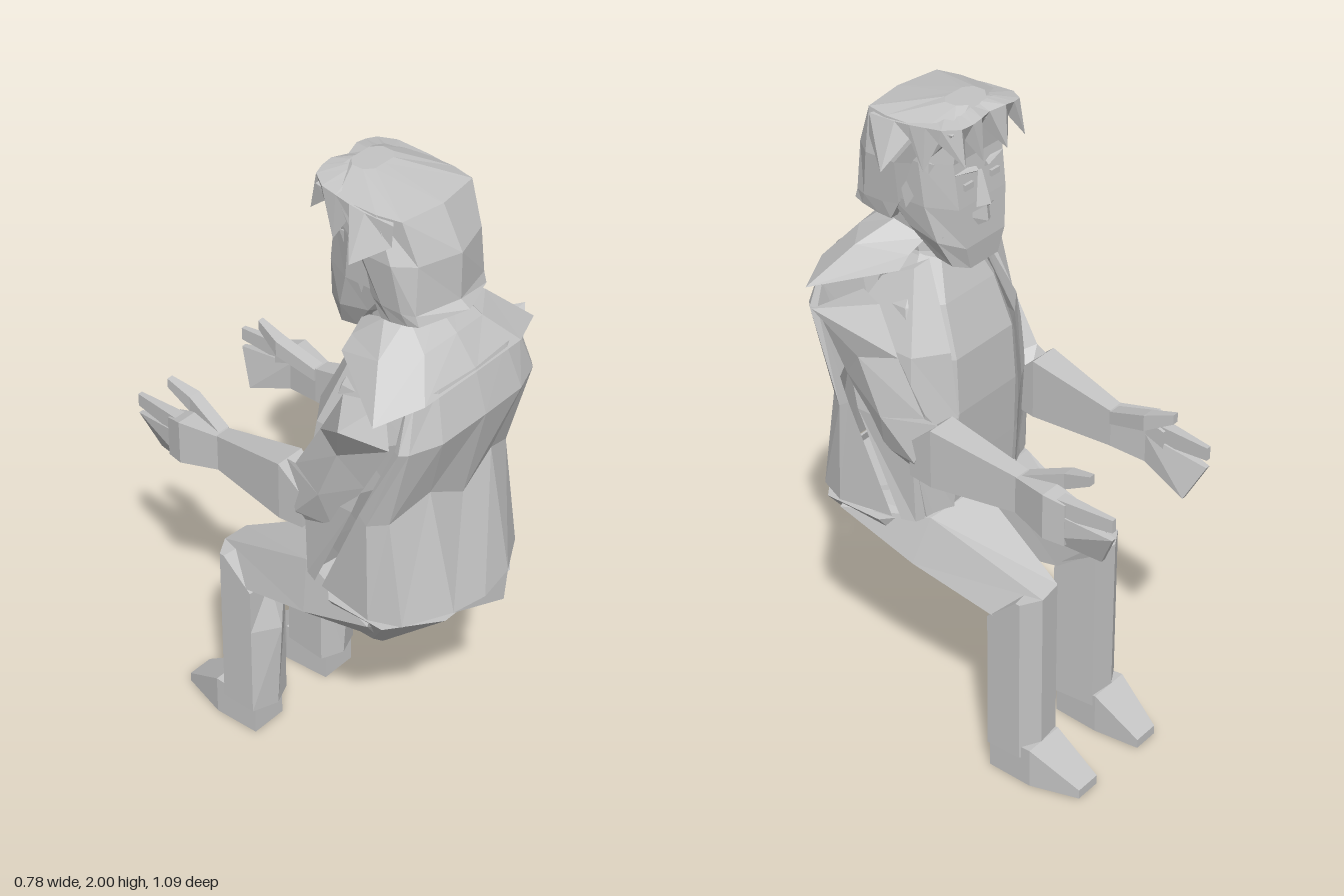
import * as THREE from 'three';

const grey = new THREE.MeshStandardMaterial({ color: 0xc4c4c4, flatShading: true, side: THREE.DoubleSide });

// Mesh through a list of equal-length point rows; closed rows get end caps.
// Open shells face away from a point shifted along z into their hollow side.
function loft(name, rows, closed = true, hollowZ = 0) {
  const n = rows[0].length, pts = rows.flat().map(p => new THREE.Vector3(...p));
  const tris = [];
  for (let r = 0; r < rows.length - 1; r++) {
    for (let i = 0; i < (closed ? n : n - 1); i++) {
      const a = r * n + i, b = r * n + (i + 1) % n;
      tris.push([a, b, b + n], [a, b + n, a + n]);
    }
  }
  if (closed) {
    const e = (rows.length - 1) * n;
    for (let i = 1; i < n - 1; i++) tris.push([0, i + 1, i], [e, e + i, e + i + 1]);
  }
  const mid = new THREE.Vector3(0, 0, hollowZ);
  pts.forEach(p => mid.addScaledVector(p, 1 / pts.length));
  let volume = 0;
  for (const t of tris) {
    const [a, b, c] = t.map(i => pts[i].clone().sub(mid));
    volume += a.dot(b.cross(c));
  }
  if (volume < 0) tris.forEach(t => t.reverse());
  const g = new THREE.BufferGeometry().setFromPoints(tris.flat().map(i => pts[i]));
  g.computeVertexNormals();
  const mesh = new THREE.Mesh(g, grey);
  mesh.name = name;
  return mesh;
}

// Nine-sided horizontal ring, from z front to z back, with a bulge at the middle of the back
function ring(y, hx, zf, zb, k = 0.6, tilt = 0, bulge = 0) {
  const d = zb - zf;
  return [[k, 0], [1, 0.3], [1, 0.75], [k, 1], [0, 1 + bulge / d], [-k, 1], [-1, 0.75], [-1, 0.3], [-k, 0]]
    .map(([x, t]) => [x * hx, y + tilt * t, zf + d * t]);
}

// Four-cornered rod section across z: x range, y range
const across = (z, x0, x1, y0, y1) => [[x0, y0, z], [x1, y0, z], [x1, y1, z], [x0, y1, z]];

const mirror = (rows, s) => rows.map(r => r.map(([x, y, z]) => [x * s, y, z]));

// Symmetric open row given from the outer edge to the centre
const span = pts => [...mirror([pts], -1)[0], ...pts.slice(0, -1).reverse()];

export function createModel() {
  const model = new THREE.Group();
  model.name = 'seatedFigure';
  const add = (...m) => model.add(...m);

  // Head and neck
  add(loft('head', [
    ring(1.53, 0.09, 0.07, 0.19, 0.65, 0.02), ring(1.6, 0.125, 0.065, 0.28, 0.65, 0.05),
    ring(1.72, 0.14, 0.075, 0.36, 0.7), ring(1.85, 0.145, 0.09, 0.37, 0.7), ring(1.95, 0.13, 0.08, 0.33, 0.7),
  ]));
  add(loft('neck', [ring(1.48, 0.13, 0.16, 0.33), ring(1.55, 0.1, 0.17, 0.32), ring(1.66, 0.11, 0.18, 0.35)]));

  // Face
  add(loft('nose', [
    [[-0.035, 1.7, 0.08], [0.035, 1.7, 0.08], [0, 1.71, 0.045]],
    [[-0.012, 1.8, 0.09], [0.012, 1.8, 0.09], [0, 1.8, 0.075]],
  ]));
  add(loft('moustache', [
    [[-0.12, 1.63, 0.12], [0, 1.655, 0.055], [0.12, 1.63, 0.12]],
    [[-0.07, 1.69, 0.08], [0, 1.7, 0.06], [0.07, 1.69, 0.08]],
  ]));

  // Hair cap and a ragged fringe of pointed locks round the front and sides
  add(loft('hair', [
    ring(1.645, 0.145, 0.28, 0.405, 0.95, 0.025, 0.055), ring(1.7, 0.155, 0.25, 0.395, 0.9, 0, 0.035),
    ring(1.84, 0.17, 0.17, 0.39, 0.75, 0, 0.04), ring(1.96, 0.155, 0.06, 0.345, 0.9, 0, 0.02),
    ring(2.0, 0.06, 0.09, 0.17),
  ]));
  add(loft('fringe', [
    span([[0.16, 1.89, 0.33], [0.22, 1.83, 0.24], [0.16, 1.92, 0.19], [0.165, 1.84, 0.14], [0.15, 1.93, 0.1],
      [0.125, 1.87, 0.03], [0.09, 1.93, 0.06], [0.05, 1.86, 0.03], [0, 1.93, 0.08]]),
    span([[0.155, 1.95, 0.33], [0.16, 1.955, 0.24], [0.16, 1.96, 0.19], [0.155, 1.965, 0.14], [0.15, 1.97, 0.09],
      [0.12, 1.975, 0.045], [0.085, 1.98, 0.035], [0.05, 1.985, 0.035], [0, 1.98, 0.05]]),
    span([[0.12, 1.96, 0.3], [0.12, 1.965, 0.24], [0.11, 1.97, 0.19], [0.1, 1.975, 0.15], [0.08, 1.985, 0.13],
      [0.07, 1.99, 0.11], [0.05, 1.995, 0.1], [0.03, 1.997, 0.1], [0, 1.997, 0.1]]),
  ], false, 0.1));

  // Shirt and trunk, sloping forward to the waist
  add(loft('trunk', [
    ring(0.77, 0.22, 0.08, 0.15, 0.6), ring(0.92, 0.24, 0.07, 0.21, 0.55), ring(1.1, 0.25, 0.06, 0.3, 0.5),
    ring(1.27, 0.22, 0.07, 0.36, 0.55), ring(1.42, 0.19, 0.12, 0.36, 0.55), ring(1.56, 0.09, 0.18, 0.3),
  ]));
  const buckle = new THREE.Mesh(new THREE.BoxGeometry(0.08, 0.05, 0.03), grey);
  buckle.name = 'buckle';
  buckle.position.set(0, 0.82, 0.075);
  add(buckle);

  // Jacket back, an open shell from hem to shoulders
  add(loft('jacketBack', [
    span([[0.27, 0.78, 0.19], [0.288, 0.77, 0.37], [0.25, 0.77, 0.46], [0.12, 0.78, 0.535], [0, 0.77, 0.55]]),
    span([[0.28, 1.11, 0.33], [0.285, 1.09, 0.36], [0.25, 1.1, 0.41], [0.13, 1.16, 0.45], [0, 1.09, 0.46]]),
    span([[0.27, 1.37, 0.44], [0.28, 1.37, 0.46], [0.26, 1.37, 0.48], [0.165, 1.37, 0.515], [0, 1.38, 0.525]]),
    span([[0.24, 1.46, 0.44], [0.24, 1.48, 0.45], [0.22, 1.49, 0.46], [0.14, 1.51, 0.475], [0, 1.51, 0.485]]),
  ], false, -0.3));
  add(loft('jacketTail', [
    [[-0.12, 0.78, 0.535], [0.12, 0.78, 0.535], [0.1, 0.78, 0.52]], Array(3).fill([0.1, 0.69, 0.54]),
  ]));

  // Collar cape over the shoulders
  add(loft('shoulderCape', [
    span([[0.2, 1.54, 0.2], [0.335, 1.47, 0.42], [0.2, 1.49, 0.48], [0, 1.5, 0.49]]),
    span([[0.16, 1.57, 0.2], [0.22, 1.58, 0.34], [0.12, 1.58, 0.41], [0, 1.59, 0.42]]),
    span([[0.1, 1.6, 0.19], [0.125, 1.64, 0.28], [0.09, 1.65, 0.33], [0, 1.65, 0.35]]),
  ], false, -0.3));

  // Seat
  add(loft('seat', [ring(0.51, 0.11, 0.16, 0.27, 0.9), ring(0.76, 0.285, 0.1, 0.525, 0.5)]));

  for (const s of [1, -1]) {
    const side = s > 0 ? 'left' : 'right';
    const part = (name, rows) => add(loft(side + name, mirror(rows, s)));

    // Sideburn, brow and eye
    part('Sideburn', [[[0.13, 1.85, 0.13], [0.145, 1.85, 0.26], [0.13, 1.86, 0.18]], Array(3).fill([0.145, 1.7, 0.22])]);
    part('Brow', [
      [[0.02, 1.8, 0.085], [0.02, 1.82, 0.08], [0.02, 1.81, 0.07]],
      [[0.1, 1.81, 0.1], [0.1, 1.83, 0.1], [0.1, 1.82, 0.085]],
    ]);
    const eye = new THREE.Mesh(new THREE.BoxGeometry(0.035, 0.018, 0.009), grey);
    eye.name = side + 'Eye';
    eye.position.set(s * 0.055, 1.775, 0.078);
    add(eye);

    // Jacket front panel beside the shirt
    part('JacketFront', [
      [[0.14, 0.79, 0.07], [0.25, 0.78, 0.12], [0.265, 0.78, 0.16], [0.2, 0.79, 0.13]],
      [[0.14, 1.1, 0.05], [0.26, 1.08, 0.12], [0.275, 1.1, 0.3], [0.2, 1.1, 0.16]],
      [[0.14, 1.3, 0.075], [0.23, 1.3, 0.14], [0.25, 1.32, 0.37], [0.18, 1.3, 0.2]],
      [[0.1, 1.54, 0.18], [0.14, 1.52, 0.2], [0.17, 1.48, 0.29], [0.12, 1.5, 0.24]],
    ]);

    // Sleeve with a pointed shoulder, then forearm
    part('UpperArm', [
      [[0.39, 1.455, 0.35], [0.24, 1.44, 0.24], [0.19, 1.43, 0.34], [0.28, 1.37, 0.43]],
      [[0.3, 1.29, 0.27], [0.25, 1.3, 0.17], [0.2, 1.28, 0.24], [0.27, 1.2, 0.34]],
      [[0.295, 1.12, 0.2], [0.25, 1.14, 0.08], [0.2, 1.12, 0.12], [0.26, 1.0, 0.22]],
      [[0.275, 1.0, 0.1], [0.24, 1.13, 0.04], [0.19, 1.06, 0.06], [0.24, 0.94, 0.12]],
    ]);
    part('Forearm', [
      across(0.12, 0.19, 0.27, 0.95, 1.06), across(0.04, 0.18, 0.275, 0.945, 1.13),
      across(-0.23, 0.185, 0.235, 0.955, 1.07),
    ]);

    // Hand held palm inward, with a thumb and fingers
    part('Palm', [
      across(-0.22, 0.185, 0.235, 0.955, 1.07), across(-0.34, 0.2, 0.268, 0.94, 1.08), across(-0.4, 0.2, 0.25, 0.93, 1.06),
    ]);
    part('Thumb', [
      across(-0.23, 0.18, 0.22, 1.03, 1.07), across(-0.36, 0.16, 0.2, 1.07, 1.12), across(-0.445, 0.18, 0.2, 1.115, 1.145),
    ]);
    part('UpperFingers', [across(-0.36, 0.21, 0.25, 1.01, 1.07), across(-0.54, 0.21, 0.225, 1.02, 1.06)]);
    part('LowerFingers', [
      across(-0.34, 0.2, 0.26, 0.94, 1.03),
      [[0.18, 0.885, -0.485], [0.195, 0.885, -0.485], [0.225, 0.995, -0.54], [0.21, 0.995, -0.54]],
    ]);

    // Thigh, shin with a calf ridge, and shoe
    part('Thigh', [
      [[0.03, 0.515, 0.26], [0.1, 0.515, 0.26], [0.288, 0.745, 0.37], [0.25, 0.78, 0.36], [0.03, 0.79, 0.2]],
      [[0.04, 0.53, 0.12], [0.13, 0.525, 0.12], [0.268, 0.645, 0.12], [0.22, 0.79, 0.09], [0.03, 0.81, 0.06]],
      [[0.08, 0.55, -0.13], [0.2, 0.55, -0.13], [0.23, 0.56, -0.14], [0.17, 0.64, -0.27], [0.09, 0.645, -0.26]],
    ]);
    const shin = (y, ridge, zb = -0.12) => [
      [0.09, y, -0.26], [0.17, y, -0.27], [0.23, y, -0.235], [0.23, y, zb], [0.15, y, ridge], [0.08, y, zb],
    ];
    part('Shin', [shin(0.09, -0.09), shin(0.4, -0.07), shin(0.55, -0.115), shin(0.64, -0.21, -0.22)]);
    part('Shoe', [
      across(-0.12, 0.1, 0.22, 0, 0.12), across(-0.27, 0.09, 0.225, 0, 0.13), across(-0.42, 0.1, 0.185, 0.005, 0.035),
    ]);
  }
  return model;
}
